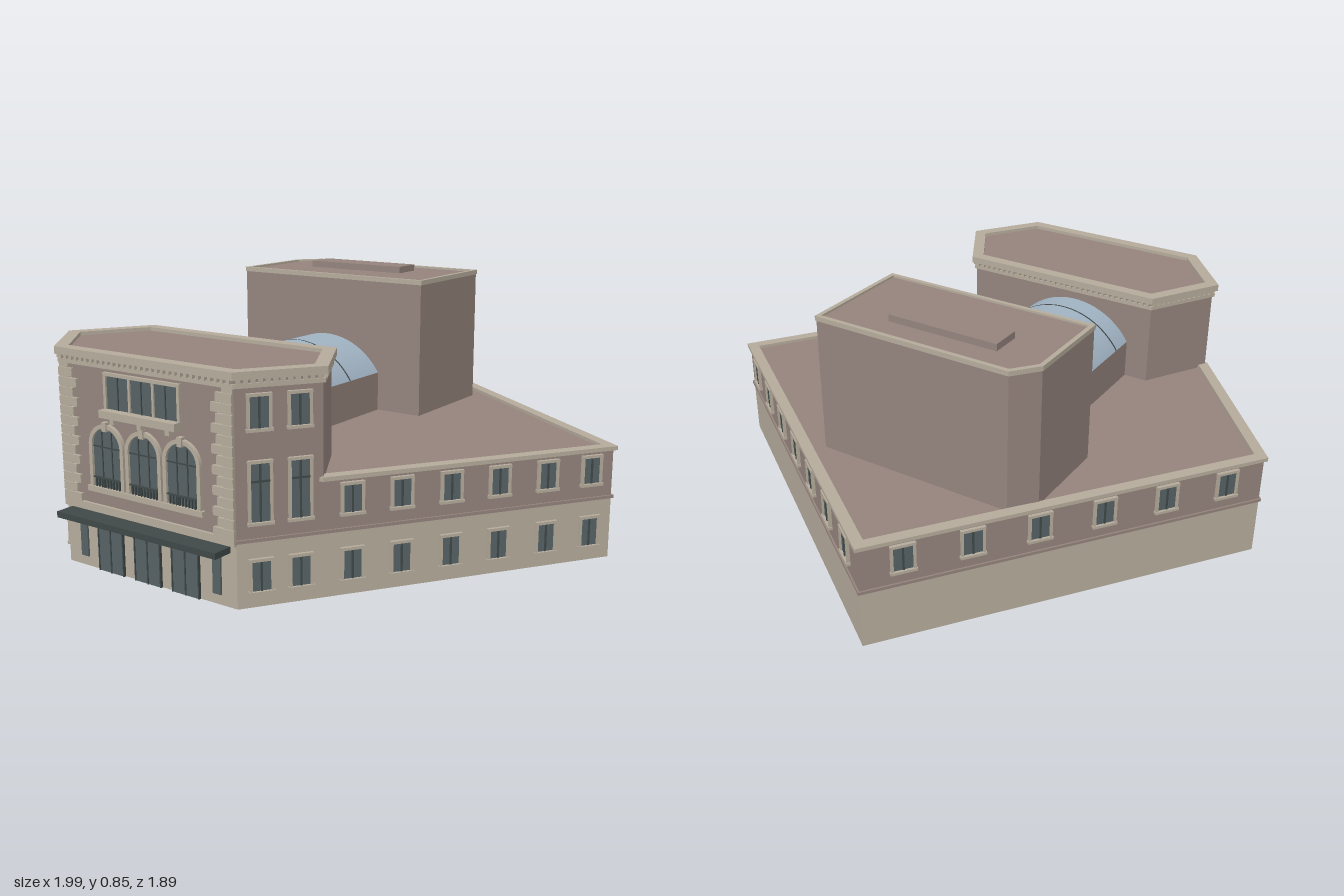
import * as THREE from 'three';

const mat = (name, color, side = THREE.FrontSide) => {
  const m = new THREE.MeshStandardMaterial({ color, side });
  m.name = name;
  return m;
};

export function createModel() {
  const brown = mat('brown render', 0x94837c);
  const tan = mat('pale stone', 0xb5ab9b);
  const glass = mat('dark glass', 0x566264);
  const metal = mat('dark metal', 0x3f4848);
  const blue = mat('vault glass', 0xa0b2c2, THREE.DoubleSide);
  const model = new THREE.Group();
  model.name = 'theatre';

  const add = (parent, name, geo, material, x = 0, y = 0, z = 0) => {
    const m = new THREE.Mesh(geo, material);
    m.name = name;
    m.position.set(x, y, z);
    parent.add(m);
    return m;
  };
  // Box given by its centre in x, its bottom and top, and its depth from the wall
  const slab = (parent, name, material, x, y0, y1, w, d, z0 = 0) =>
    add(parent, name, new THREE.BoxGeometry(w, y1 - y0, d), material, x, (y0 + y1) / 2, z0 + d / 2);

  // Plan helpers: points are [x, z], running left, front, right, back
  const offset = (pts, d) => pts.map((p, i) => {
    const n = pts.length;
    const normal = (a, b) => {
      const dx = b[0] - a[0], dz = b[1] - a[1], l = Math.hypot(dx, dz);
      return [-dz / l, dx / l];
    };
    const u = normal(pts[(i + n - 1) % n], p), v = normal(p, pts[(i + 1) % n]);
    const k = d / (1 + u[0] * v[0] + u[1] * v[1]);
    return [p[0] + k * (u[0] + v[0]), p[1] + k * (u[1] + v[1])];
  });
  const toVec = (pts) => pts.map(([x, z]) => new THREE.Vector2(x, -z));
  const prism = (name, pts, y0, y1, material, hole) => {
    const shape = new THREE.Shape(toVec(pts));
    if (hole) shape.holes.push(new THREE.Path(toVec(hole)));
    const geo = new THREE.ExtrudeGeometry(shape, { depth: y1 - y0, bevelEnabled: false });
    return add(model, name, geo.rotateX(-Math.PI / 2), material, 0, y0, 0);
  };
  // Group whose x runs along a wall and whose z points outward
  const wall = (name, a, b) => {
    const g = new THREE.Group();
    g.name = name;
    g.position.set(a[0], 0, a[1]);
    g.rotation.y = Math.atan2(a[1] - b[1], b[0] - a[0]);
    g.userData.length = Math.hypot(b[0] - a[0], b[1] - a[1]);
    model.add(g);
    return g;
  };

  const L = [-0.985, 0.15], FL = [-0.4, 0.88], FR = [0.28, 0.88], R = [0.983, -0.115], B = [-0.168, -0.935];
  const TL = [-0.568, 0.67], TR = [0.429, 0.67];
  const base = [L, FL, FR, R, B];
  const tower = [FL, FR, TR, [0.3, 0.445], [-0.43, 0.445], TL];

  // Two-storey base with belt and parapet
  prism('groundFloor', base, 0, 0.2, tan);
  prism('upperFloor', base, 0.2, 0.355, brown);
  prism('belt', offset(base, 0.006), 0.196, 0.206, brown);
  const roofEdge = [L, TL, TR, R, B];
  prism('baseCornice', offset(roofEdge, 0.01), 0.353, 0.366, tan, offset(roofEdge, -0.027));

  // Front tower with layered cornice
  prism('frontTower', tower, 0.355, 0.676, brown);
  prism('towerMoulding', offset(tower, 0.008), 0.64, 0.653, tan);
  prism('towerCornice', offset(tower, 0.016), 0.665, 0.688, tan, offset(tower, -0.025));
  tower.forEach((a, i) => {
    const g = wall('dentils', a, tower[(i + 1) % tower.length]);
    const len = g.userData.length, n = Math.round(len / 0.022);
    for (let k = 0; k < n; k++) slab(g, 'dentil', tan, (k + 0.5) * len / n, 0.652, 0.666, 0.011, 0.012);
  });

  // Stage house behind
  const stage = [[-0.495, -0.14], [0.265, -0.14], [0.265, -0.54], [-0.43, -0.54], [-0.495, -0.46]];
  prism('stageHouse', stage, 0.355, 0.822, brown);
  prism('stageParapet', offset(stage, 0.003), 0.813, 0.829, tan, offset(stage, -0.012));
  add(model, 'stageRoofHatch', new THREE.BoxGeometry(0.39, 0.023, 0.105), brown, -0.135, 0.8335, -0.388);

  // Glazed vault between the two
  add(model, 'vaultWalls', new THREE.BoxGeometry(0.44, 0.135, 0.6), brown, -0.125, 0.4225, 0.155);
  const radius = 0.262, half = Math.asin(0.22 / radius);
  const arc = (name, r, len, z, material) => add(model, name,
    new THREE.CylinderGeometry(r, r, len, 32, 1, true, -half, 2 * half).rotateX(-Math.PI / 2), material, -0.125, 0.348, z);
  arc('vault', radius, 0.6, 0.155, blue);
  for (const z of [0.04, 0.155, 0.355]) arc('vaultRib', radius + 0.003, 0.007, z, metal);

  // Rectangular window with frame, sill and mullion
  const windowAt = (g, x, y0, y1, w = 0.056) => {
    slab(g, 'windowGlass', glass, x, y0, y1, w, 0.005);
    for (const s of [-1, 1]) slab(g, 'windowJamb', tan, x + s * (w / 2 + 0.004), y0, y1, 0.008, 0.011);
    slab(g, 'windowHead', tan, x, y1, y1 + 0.009, w + 0.018, 0.011);
    slab(g, 'windowSill', tan, x, y0 - 0.009, y0, w + 0.022, 0.014);
    slab(g, 'windowMullion', metal, x, y0, y1, 0.006, 0.008);
    if (y1 - y0 > 0.12) slab(g, 'windowTransom', metal, x, y1 - 0.055, y1 - 0.049, w, 0.008);
  };

  // Side facades: positions are measured from the front corner
  const sideFacade = (name, a, b, fromFront, places) => {
    const g = wall(name, a, b);
    places.forEach((p, i) => {
      const x = fromFront ? p : g.userData.length - p;
      windowAt(g, x, 0.05, 0.138);
      if (i < 2) {
        windowAt(g, x, 0.255, 0.425);
        windowAt(g, x, 0.525, 0.615);
      } else windowAt(g, x, 0.253, 0.335);
    });
  };
  sideFacade('rightFacade', FR, R, true, [0.07, 0.188, 0.345, 0.5, 0.66, 0.82, 0.985, 1.14]);
  sideFacade('leftFacade', L, FL, false, [0.072, 0.183, 0.343, 0.51, 0.69, 0.86]);

  // Rear facades have windows on the upper floor only
  const rear = (name, a, b, n) => {
    const g = wall(name, a, b);
    for (let i = 0; i < n; i++) windowAt(g, g.userData.length * (i + 0.62) / (n + 0.24), 0.253, 0.335, 0.062);
  };
  rear('backRightFacade', R, B, 7);
  rear('backLeftFacade', B, L, 6);

  // Front facade, centred on the axis of the entrance
  const front = new THREE.Group();
  front.name = 'frontFacade';
  front.position.set(-0.06, 0, 0.88);
  model.add(front);

  for (const s of [-1, 1]) {
    slab(front, 'cornerStrip', tan, s * 0.321, 0.206, 0.64, 0.038, 0.007);
    for (let i = 0; i < 14; i++) {
      const w = i % 2 ? 0.058 : 0.075;
      slab(front, 'quoin', tan, s * (0.34 - w / 2), 0.21 + i * 0.03, 0.236 + i * 0.03, w, 0.011);
    }
    slab(front, 'sideLight', glass, s * 0.268, 0.032, 0.147, 0.03, 0.006);
  }
  slab(front, 'frontBelt', tan, 0, 0.188, 0.212, 0.68, 0.01);

  // Entrance doors under the canopy
  for (const x of [-0.152, 0, 0.15]) {
    slab(front, 'door', glass, x, 0, 0.15, 0.104, 0.006);
    for (const k of [-0.5, 0, 0.5]) slab(front, 'doorPost', metal, x + k * 0.102, 0, 0.15, 0.004, 0.009);
  }
  slab(front, 'canopy', metal, 0, 0.165, 0.184, 0.635, 0.066);

  // Arched windows
  const archShape = (Type, r, y0, spring) => {
    const s = new Type();
    s.moveTo(-r, y0);
    s.lineTo(r, y0);
    s.lineTo(r, spring);
    s.absarc(0, spring, r, 0, Math.PI, false);
    s.lineTo(-r, y0);
    return s;
  };
  for (const x of [-0.15, 0, 0.15]) {
    const surround = archShape(THREE.Shape, 0.071, 0.27, 0.4);
    surround.holes.push(archShape(THREE.Path, 0.058, 0.27, 0.4));
    add(front, 'archSurround', new THREE.ExtrudeGeometry(surround, { depth: 0.012, bevelEnabled: false, curveSegments: 16 }), tan, x);
    add(front, 'archGlass', new THREE.ShapeGeometry(archShape(THREE.Shape, 0.058, 0.27, 0.4), 16), glass, x, 0, 0.004);
    slab(front, 'keystone', tan, x, 0.45, 0.478, 0.018, 0.017);
    for (const k of [-0.02, 0.02]) slab(front, 'archMullion', metal, x + k, 0.27, 0.445, 0.003, 0.007);
    slab(front, 'archTransom', metal, x, 0.396, 0.4, 0.116, 0.007);
    slab(front, 'archRail', metal, x, 0.3, 0.304, 0.116, 0.012);
    for (let k = -4; k <= 4; k++) slab(front, 'archBaluster', metal, x + k * 0.012, 0.272, 0.3, 0.003, 0.01);
  }
  slab(front, 'archSill', tan, 0, 0.255, 0.272, 0.46, 0.016);

  // Upper triple window with balcony
  slab(front, 'upperGlass', glass, 0, 0.515, 0.62, 0.28, 0.005);
  for (const k of [-0.145, 0.145]) slab(front, 'upperJamb', tan, k, 0.515, 0.628, 0.01, 0.011);
  for (const k of [-0.047, 0.047]) slab(front, 'upperPost', tan, k, 0.515, 0.62, 0.008, 0.01);
  for (const k of [-0.094, 0, 0.094]) slab(front, 'upperMullion', metal, k, 0.515, 0.62, 0.003, 0.008);
  slab(front, 'upperHead', tan, 0, 0.62, 0.63, 0.3, 0.011);
  slab(front, 'balcony', tan, 0, 0.497, 0.52, 0.3, 0.034);
  for (const k of [-0.11, 0, 0.11]) slab(front, 'balconyBracket', tan, k, 0.478, 0.497, 0.016, 0.022);

  return model;
}
